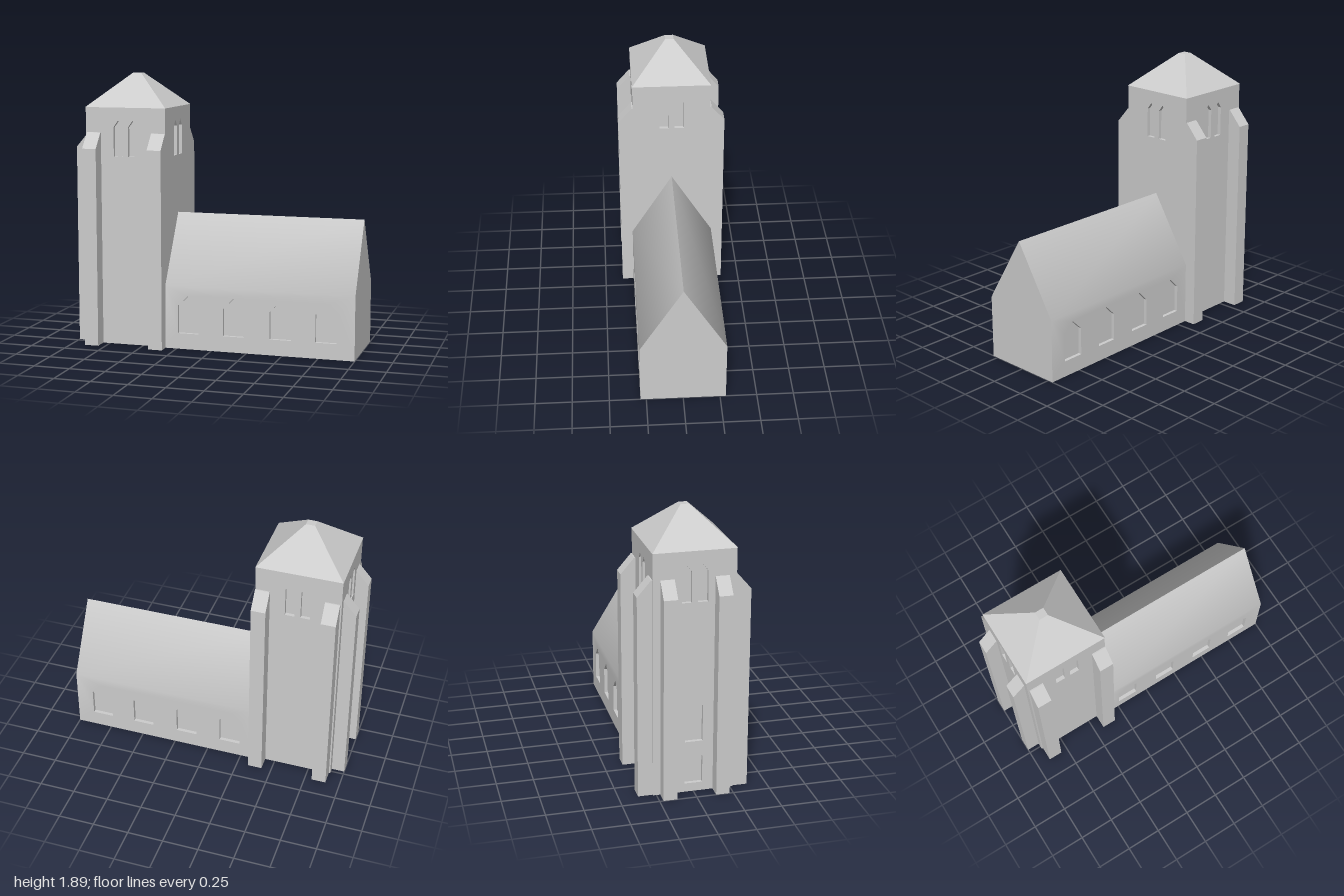
import * as THREE from 'three';
import { mergeGeometries, toCreasedNormals } from 'three/addons/utils/BufferGeometryUtils.js';

const DEPTH = 0.025; // window recess

// Flat polygon strip from a list of triangle corners
function triangles(points) {
  const g = new THREE.BufferGeometry();
  g.setAttribute('position', new THREE.Float32BufferAttribute(points.flat(), 3));
  return g;
}
const quad = (a, b, c, d) => triangles([a, b, c, a, c, d]);

function shapeGeometry(shape) {
  const g = new THREE.ShapeGeometry(shape).toNonIndexed();
  g.deleteAttribute('uv');
  g.deleteAttribute('normal');
  return g;
}

// Pointed opening: centre, sill, spring height, apex, width
function windowPoints({ x, sill, spring, apex, width }) {
  const h = width / 2;
  return [[x - h, sill], [x + h, sill], [x + h, spring], [x, apex], [x - h, spring]]
    .map(([px, py]) => new THREE.Vector2(px, py));
}

// Wall facing +z with recessed pointed windows
function facade(width, height, windows) {
  const w = width / 2;
  const wall = new THREE.Shape([[-w, 0], [w, 0], [w, height], [-w, height]]
    .map(([x, y]) => new THREE.Vector2(x, y)));
  const parts = [];
  for (const win of windows) {
    const pts = windowPoints(win);
    wall.holes.push(new THREE.Path(pts));
    parts.push(shapeGeometry(new THREE.Shape(pts)).translate(0, 0, -DEPTH));
    pts.forEach((a, i) => {
      const b = pts[(i + 1) % pts.length];
      parts.push(quad([a.x, a.y, 0], [b.x, b.y, 0], [b.x, b.y, -DEPTH], [a.x, a.y, -DEPTH]));
    });
  }
  return mergeGeometries([shapeGeometry(wall), ...parts]);
}

function floor(w, d) {
  return quad([-w, 0, -d], [w, 0, -d], [w, 0, d], [-w, 0, d]);
}

export function createModel() {
  const stone = new THREE.MeshStandardMaterial({ color: 0xcccccc });
  stone.name = 'paleStone';
  const model = new THREE.Group();
  model.name = 'church';
  const add = (name, geometry, parent, x = 0, y = 0, z = 0) => {
    const m = new THREE.Mesh(geometry, stone);
    m.name = name;
    m.position.set(x, y, z);
    parent.add(m);
    return m;
  };

  // Nave: walls and roof slopes softened into each other at the eaves
  const nave = new THREE.Group();
  nave.name = 'nave';
  nave.position.x = 0.333;
  model.add(nave);
  const L = 0.667, D = 0.29, EAVE = 0.44, RIDGE = 0.915;
  const bays = [-0.498, -0.173, 0.156, 0.473];
  for (const side of [1, -1]) {
    const wall = facade(2 * L, EAVE, bays.map(x => (
      { x: x * side, sill: 0.11, spring: 0.3, apex: 0.375, width: 0.15 }))).translate(0, 0, D);
    const slope = quad([-L, EAVE, D], [L, EAVE, D], [L, RIDGE, 0], [-L, RIDGE, 0]);
    const half = toCreasedNormals(mergeGeometries([wall, slope]), 0.6);
    add(side > 0 ? 'frontWallAndRoof' : 'backWallAndRoof', half, nave).rotation.y = side > 0 ? 0 : Math.PI;

    const gable = shapeGeometry(new THREE.Shape([[-D, 0], [D, 0], [D, EAVE], [0, RIDGE], [-D, EAVE]]
      .map(([x, y]) => new THREE.Vector2(x, y))));
    gable.computeVertexNormals();
    add('gable', gable, nave, side * L).rotation.y = side * Math.PI / 2;
  }
  const naveFloor = floor(L, D);
  naveFloor.computeVertexNormals();
  add('naveFloor', naveFloor, nave);

  // Tower: four walls with paired belfry openings
  const tower = new THREE.Group();
  tower.name = 'tower';
  tower.position.x = -0.62;
  model.add(tower);
  const W = 0.29, T = 0.272, H = 1.66;
  const belfry = [-0.053, 0.053].map(x => ({ x, sill: 1.322, spring: 1.525, apex: 1.57, width: 0.066 }));
  const entrance = [
    { x: 0, sill: 0.06, spring: 0.25, apex: 0.31, width: 0.12 },
    { x: 0, sill: 0.36, spring: 0.61, apex: 0.67, width: 0.12 },
  ];
  const walls = [
    ['frontWall', W, T, 0, []],
    ['leftWall', T, W, Math.PI / 2, []],
    ['backWall', W, T, Math.PI, []],
    ['rightWall', T, W, -Math.PI / 2, entrance],
  ];
  for (const [name, half, out, angle, extra] of walls) {
    const g = facade(2 * half, H, [...belfry, ...extra]).translate(0, 0, out);
    g.computeVertexNormals();
    add(name, g, tower).rotation.y = angle;
  }
  const towerFloor = floor(W, T);
  towerFloor.computeVertexNormals();
  add('towerFloor', towerFloor, tower);

  // Truncated pyramid roof
  const roof = new THREE.CylinderGeometry(0.104 * Math.SQRT2, Math.SQRT2, 0.23, 4)
    .rotateY(Math.PI / 4).scale(0.292, 1, 0.275).toNonIndexed();
  roof.computeVertexNormals();
  add('towerRoof', roof, tower, 0, H + 0.115, 0);

  // Buttresses with sloped caps; the profile runs outward along +x
  const buttress = width => new THREE.ExtrudeGeometry(
    new THREE.Shape([[-0.02, 0], [0.1, 0], [0.1, 1.38], [0.008, 1.487], [-0.02, 1.487]]
      .map(([x, y]) => new THREE.Vector2(x, y))),
    { depth: width, bevelEnabled: false }).translate(0, 0, -width / 2);
  for (const x of [-0.23, 0.24]) {
    add('frontButtress', buttress(0.1), tower, x, 0, T).rotation.y = -Math.PI / 2;
    add('backButtress', buttress(0.1), tower, x, 0, -T).rotation.y = Math.PI / 2;
  }
  for (const z of [-0.178, 0.178]) {
    add('rightButtress', buttress(0.092), tower, -W + 0.01, 0, z).rotation.y = Math.PI;
  }

  return model;
}
